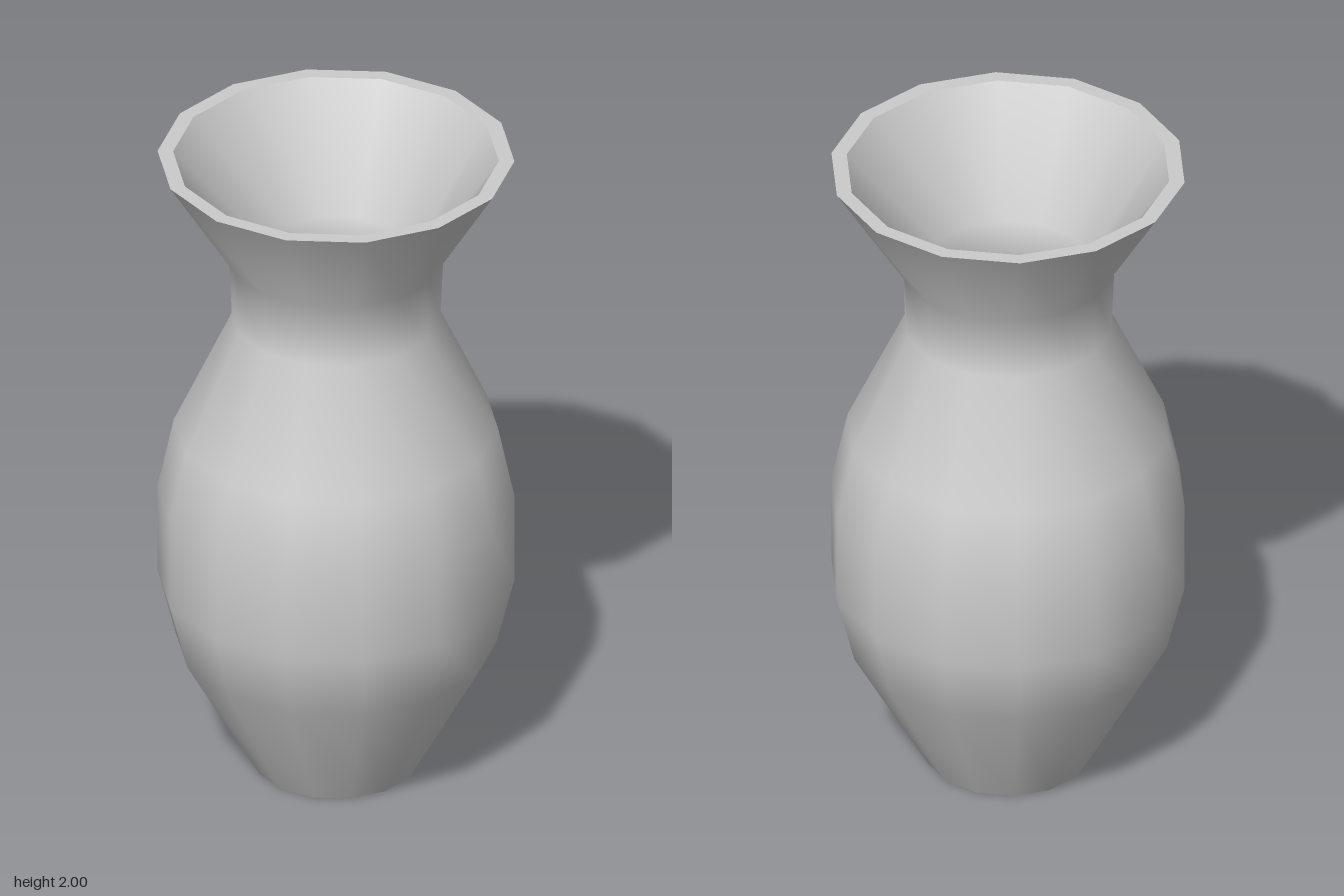
import * as THREE from 'three';

const SIDES = 14;

// Smooth along each profile; separate profiles keep the edges between them sharp
function turned(name, profile, material) {
  const points = profile.map(([r, y]) => new THREE.Vector2(r, y));
  const mesh = new THREE.Mesh(new THREE.LatheGeometry(points, SIDES), material);
  mesh.name = name;
  return mesh;
}

export function createModel() {
  const vase = new THREE.Group();
  vase.name = 'vase';
  const clay = new THREE.MeshStandardMaterial({ color: 0xcccccc });

  // Outside, from foot to flared lip
  const outer = [
    [0.24, 0], [0.464, 0.4], [0.517, 0.61], [0.517, 0.89],
    [0.47, 1.11], [0.302, 1.47], [0.311, 1.67], [0.517, 2],
  ];

  // Inside, from lip down to floor
  const inner = [
    [0.472, 2], [0.25, 1.66], [0.239, 1.49], [0.41, 1.11],
    [0.457, 0.88], [0.457, 0.62], [0.405, 0.41], [0.245, 0.1],
  ];

  vase.add(
    turned('outerWall', outer, clay),
    turned('rim', [[0.517, 2], [0.472, 2]], clay),
    turned('innerWall', inner, clay),
    turned('innerFloor', [[0.245, 0.1], [0, 0.1]], clay),
    turned('base', [[0, 0], [0.24, 0]], clay),
  );
  return vase;
}
